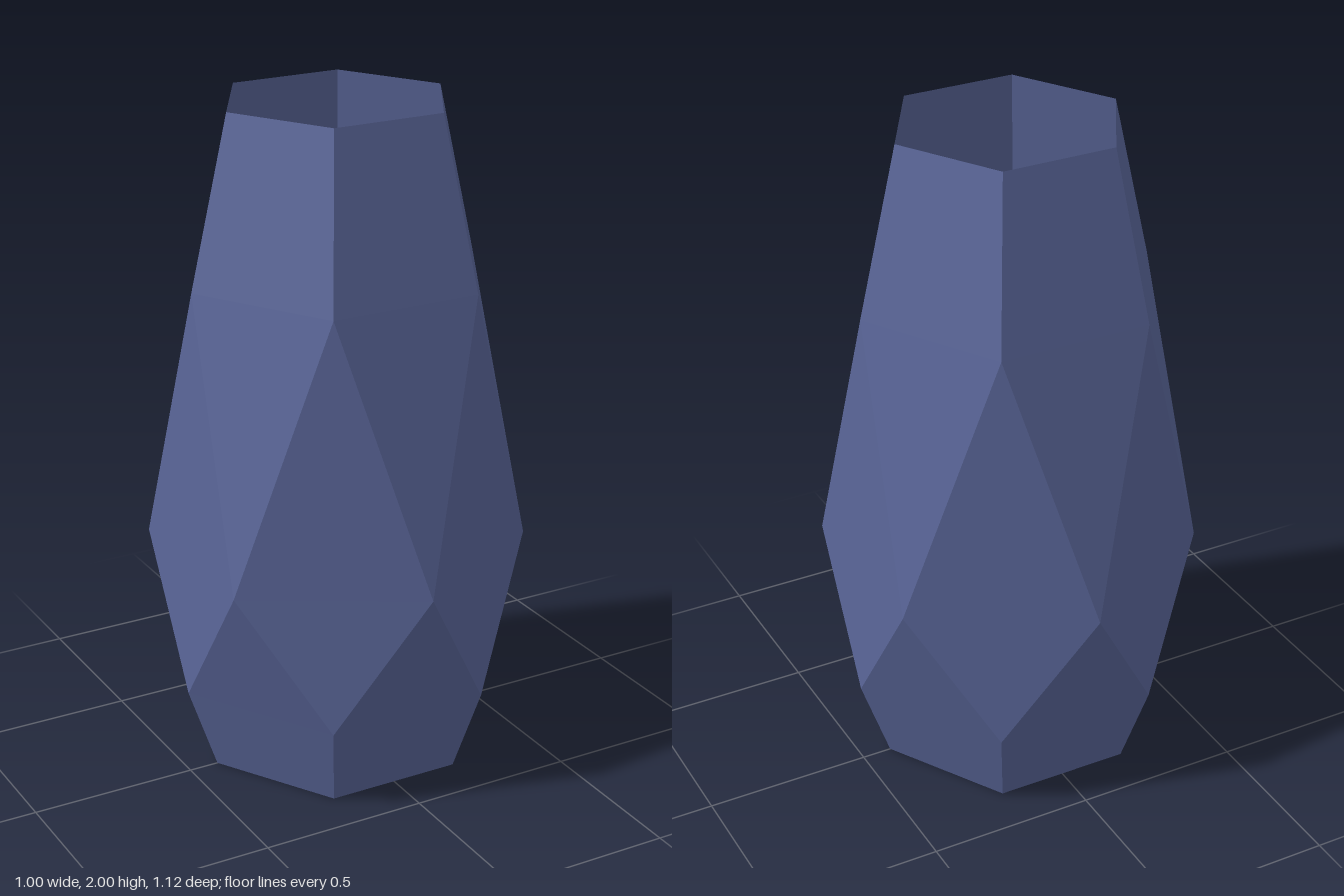
import * as THREE from 'three';

// Six-sided faceted vase: rings of [height, radius, half-step turn]
const RINGS = [
  [0, 0.41, 0],
  [0.26, 0.5, 0],
  [0.68, 0.56, 0.5],
  [1.5, 0.46, 0],
  [2, 0.342, 0],
];
const SIDES = 6;

function corner(ring, i) {
  const [y, r, turn] = RINGS[ring];
  const a = ((i + turn) / SIDES) * Math.PI * 2;
  return [r * Math.cos(a), y, -r * Math.sin(a)];
}

function facetedGeometry(triangles) {
  const geometry = new THREE.BufferGeometry();
  geometry.setAttribute('position', new THREE.Float32BufferAttribute(triangles.flat(2), 3));
  geometry.computeVertexNormals();
  return geometry;
}

export function createModel() {
  const vase = new THREE.Group();
  vase.name = 'vase';
  const material = new THREE.MeshStandardMaterial({
    color: 0x5a6699, flatShading: true, side: THREE.DoubleSide,
  });

  const walls = [];
  const floor = [];
  for (let i = 0; i < SIDES; i++) {
    const [foot, low, belly, shoulder, rim] = RINGS.map((_, k) => corner(k, i));
    const [foot2, low2, belly2, shoulder2, rim2] = RINGS.map((_, k) => corner(k, i + 1));
    walls.push(
      // base panel rising to a point at the belly
      [foot, foot2, low2], [foot, low2, low], [low, low2, belly],
      // kite between two belly points
      [belly, low2, belly2], [belly, belly2, shoulder2],
      // neck panel descending to a point at the belly
      [belly, shoulder2, shoulder], [shoulder, shoulder2, rim2], [shoulder, rim2, rim],
    );
    floor.push([[0, 0, 0], foot2, foot]);
  }

  // Thin open body and its closed base
  for (const [name, triangles] of [['facetedBody', walls], ['base', floor]]) {
    const mesh = new THREE.Mesh(facetedGeometry(triangles), material);
    mesh.name = name;
    vase.add(mesh);
  }
  return vase;
}
